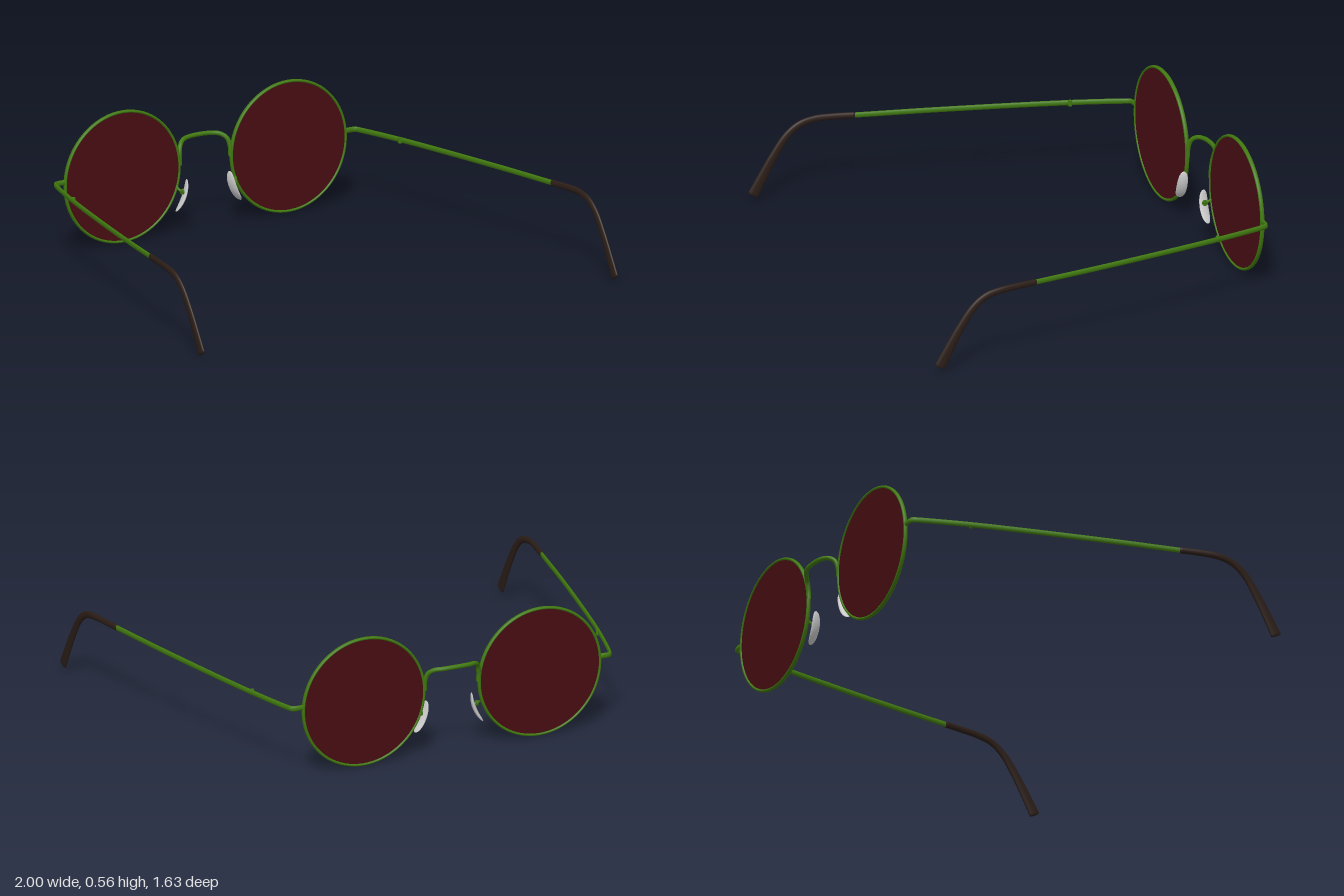
import * as THREE from 'three';

const mat = (color) => new THREE.MeshStandardMaterial({ color });

function add(parent, name, geometry, material, position = [0, 0, 0]) {
  const mesh = new THREE.Mesh(geometry, material);
  mesh.name = name;
  mesh.position.set(...position);
  parent.add(mesh);
  return mesh;
}

const curveOf = (points, s = 1) =>
  new THREE.CatmullRomCurve3(points.map(([x, y, z]) => new THREE.Vector3(x * s, y, z)));

// Oval rod along a curve; size(u) gives [half width, half height]; both ends are rounded shut
function ovalRod(curve, size, steps = 64, sides = 14) {
  const up = new THREE.Vector3(0, 1, 0);
  const pos = [], index = [];
  const rings = [[0, 0], [0, 0.7]];
  for (let i = 0; i <= steps; i++) rings.push([0.004 + 0.992 * i / steps, 1]);
  rings.push([1, 0.7], [1, 0]);
  rings.forEach(([u, k], i) => {
    const c = curve.getPointAt(u), t = curve.getTangentAt(u);
    const side = up.clone().cross(t).normalize();
    const top = t.clone().cross(side);
    const [w, h] = size(u);
    for (let j = 0; j < sides; j++) {
      const a = j / sides * Math.PI * 2;
      const p = c.clone().addScaledVector(side, Math.cos(a) * w * k).addScaledVector(top, Math.sin(a) * h * k);
      pos.push(p.x, p.y, p.z);
      if (i < rings.length - 1) {
        const a0 = i * sides + j, b0 = i * sides + (j + 1) % sides;
        index.push(a0, b0, a0 + sides, b0, b0 + sides, a0 + sides);
      }
    }
  });
  const g = new THREE.BufferGeometry();
  g.setAttribute('position', new THREE.Float32BufferAttribute(pos, 3));
  g.setIndex(index);
  g.computeVertexNormals();
  return g;
}

// Leaf-shaped pad, bowed toward the nose
function padGeometry(s) {
  const g = new THREE.SphereGeometry(1, 24, 20);
  g.scale(0.008, 0.07, 0.022);
  const p = g.attributes.position;
  for (let i = 0; i < p.count; i++) {
    const y = p.getY(i);
    p.setX(i, p.getX(i) + s * 2.6 * y * y);
    // fuller outline toward the ends
    p.setZ(i, p.getZ(i) * (1 + 55 * y * y));
  }
  g.rotateY(s * 0.3);
  g.rotateZ(s * 0.38);
  g.computeVertexNormals();
  return g;
}

export function createModel() {
  const model = new THREE.Group();
  model.name = 'glasses';
  const wire = mat(0x40780f), tint = mat(0x480d13), tipMat = mat(0x2b1d17), padMat = mat(0xcccccc);

  const frame = new THREE.Group();
  frame.name = 'frame';
  frame.rotation.y = 0.0065;
  frame.position.x = -0.0075;
  model.add(frame);

  for (const [s, side] of [[1, 'left'], [-1, 'right']]) {
    // Round lens with its rim, leaning slightly
    const eye = new THREE.Group();
    eye.name = side + 'Eye';
    eye.position.set(s * 0.3975, 0.282, -0.757);
    eye.rotation.x = -0.016;
    frame.add(eye);
    const rim = new THREE.TorusGeometry(0.2725, 0.0062, 12, 80);
    rim.scale(1, 1, 1.5);
    add(eye, side + 'Rim', rim, wire);
    const lens = new THREE.CylinderGeometry(0.271, 0.271, 0.009, 80);
    lens.rotateX(Math.PI / 2);
    add(eye, side + 'Lens', lens, tint);

    // End piece and temple arm in one bent wire
    const arm = curveOf([
      [0.667, 0.301, -0.757], [0.705, 0.301, -0.758], [0.719, 0.301, -0.754], [0.726, 0.301, -0.738],
      [0.787, 0.306, -0.515], [0.896, 0.316, 0], [0.963, 0.323, 0.37],
    ], s);
    add(frame, side + 'Temple', ovalRod(arm, () => [0.0065, 0.0115], 100), wire);

    // Hinge barrel
    add(frame, side + 'Hinge', new THREE.CylinderGeometry(0.008, 0.008, 0.024, 14), wire, [s * 0.781, 0.306, -0.515]);

    // Ear tip, widening to its end
    const tip = curveOf([
      [0.96, 0.323, 0.355], [0.977, 0.325, 0.45], [0.986, 0.323, 0.52], [0.988, 0.308, 0.585],
      [0.989, 0.268, 0.64], [0.989, 0.185, 0.7], [0.989, 0.1, 0.75], [0.989, 0.028, 0.79],
    ], s);
    const tipSize = (u) => [0.0095 - 0.001 * u, 0.0135 + 0.0115 * u * u];
    add(frame, side + 'EarTip', ovalRod(tip, tipSize, 70), tipMat);

    // Nose pad on a short wire arm
    add(frame, side + 'NosePad', padGeometry(s), padMat, [s * 0.117, 0.16, -0.73]);
    const padArm = curveOf([
      [0.14, 0.2, -0.755], [0.137, 0.19, -0.742], [0.13, 0.183, -0.733], [0.119, 0.178, -0.731],
    ], s);
    add(frame, side + 'PadArm', new THREE.TubeGeometry(padArm, 16, 0.0055, 8), wire);
    const stud = new THREE.CylinderGeometry(0.012, 0.012, 0.008, 16);
    stud.rotateZ(Math.PI / 2);
    add(frame, side + 'PadStud', stud, wire, [s * 0.126, 0.18, -0.731]);
  }

  // Arched bridge, bowed forward of the lenses
  const half = [[0.122, 0.285, -0.757], [0.121, 0.325, -0.76], [0.113, 0.358, -0.769], [0.092, 0.376, -0.786], [0.06, 0.381, -0.802]];
  const path = [...half, [0, 0.383, -0.808], ...half.slice().reverse().map(([x, y, z]) => [-x, y, z])];
  add(frame, 'bridge', new THREE.TubeGeometry(curveOf(path), 64, 0.0095, 12), wire);

  return model;
}
